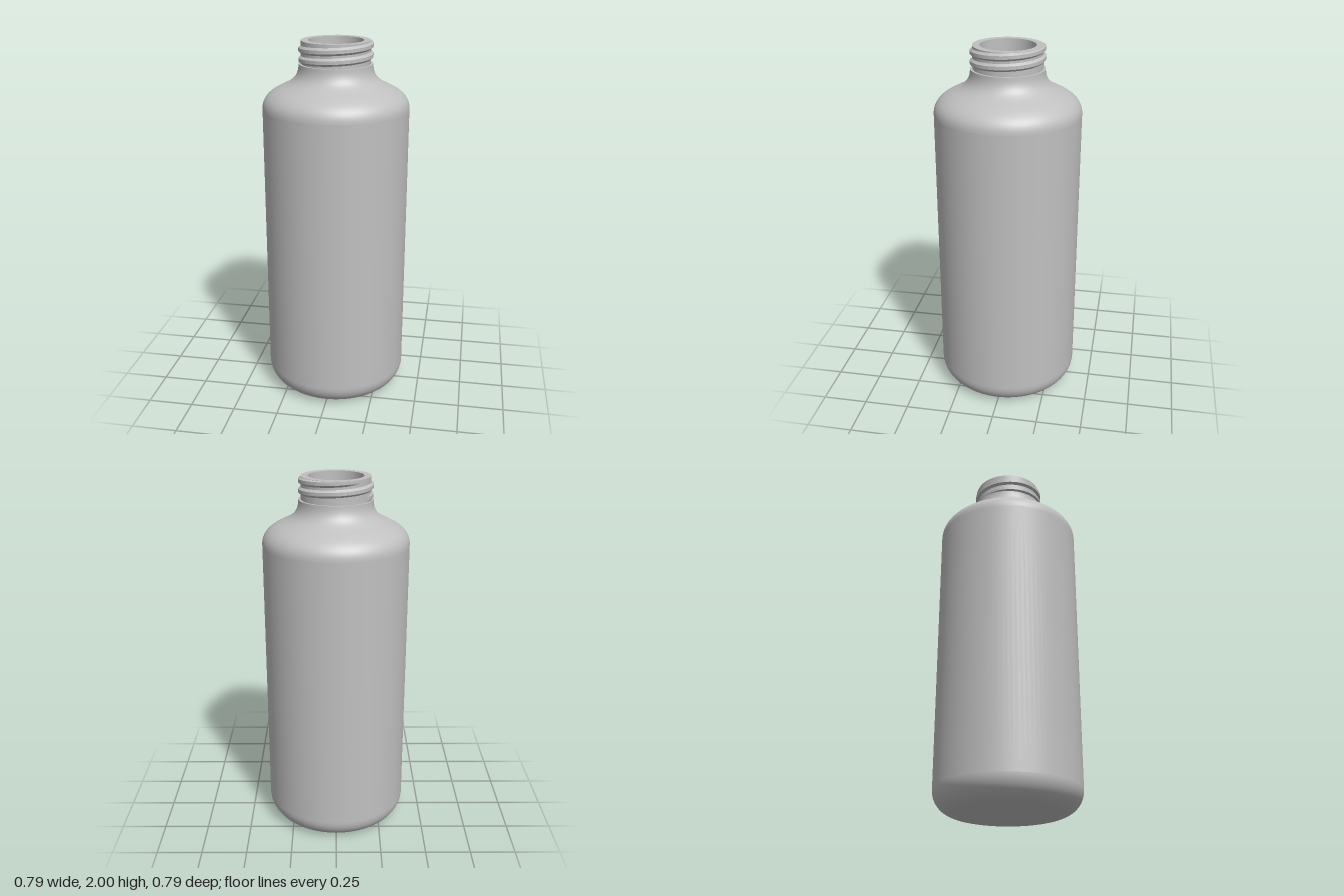
import * as THREE from 'three';

const SEGMENTS = 96;
const v = (x, y) => new THREE.Vector2(x, y);

// Samples a cubic curve between two profile points
const curve = (a, b, c, d, n = 14) => new THREE.CubicBezierCurve(a, b, c, d).getPoints(n);

// Helical ridge with a trapezoid section that fades into the neck at both ends
function threadGeometry(core, crest, pitch) {
  const start = -2.7 * Math.PI, end = 1.25 * Math.PI, fade = 0.7, steps = 220;
  const section = [[0, -0.021], [1, -0.009], [1, 0.009], [0, 0.021]];
  const positions = [], indices = [];
  for (let s = 0; s < 3; s++) {
    const base = positions.length / 3;
    for (let i = 0; i <= steps; i++) {
      const a = start + (end - start) * i / steps;
      const k = Math.min(1, (a - start) / fade, (end - a) / fade);
      const y = 1.95 + pitch * (a + Math.PI / 2) / (2 * Math.PI);
      for (const [h, dy] of [section[s], section[s + 1]]) {
        const r = core - 0.001 + (crest - core + 0.001) * h * k;
        positions.push(r * Math.sin(a), Math.min(y + dy, 1.999), r * Math.cos(a));
      }
      if (i < steps) {
        const p = base + i * 2;
        indices.push(p, p + 2, p + 1, p + 1, p + 2, p + 3);
      }
    }
  }
  const g = new THREE.BufferGeometry();
  g.setAttribute('position', new THREE.Float32BufferAttribute(positions, 3));
  g.setIndex(indices);
  g.computeVertexNormals();
  return g;
}

export function createModel() {
  const group = new THREE.Group();
  group.name = 'bottle';
  const grey = new THREE.MeshStandardMaterial({ color: 0xc0c0c0 });
  grey.name = 'light grey';

  const add = (name, geometry) => {
    const mesh = new THREE.Mesh(geometry, grey);
    mesh.name = name;
    group.add(mesh);
  };
  const turn = (name, points) => add(name, new THREE.LatheGeometry(points, SEGMENTS));

  const R = 0.396, fillet = 0.12, neck = 0.186, bore = 0.148, wall = 0.045;

  // Flat base and rounded lower edge
  turn('base', [v(0, 0), v(R - fillet, 0)]);
  const corner = [];
  for (let i = 0; i <= 16; i++) {
    const t = i / 16 * Math.PI / 2;
    corner.push(v(R - fillet + fillet * Math.sin(t), fillet - fillet * Math.cos(t)));
  }
  turn('lowerEdge', corner);

  // Straight body and S-shaped shoulder
  turn('body', [v(R, fillet), v(R, 1.64)]);
  turn('shoulder', [
    ...curve(v(R, 1.64), v(R, 1.705), v(0.345, 1.735), v(0.285, 1.762)),
    ...curve(v(0.285, 1.762), v(0.235, 1.785), v(0.199, 1.81), v(0.199, 1.878)).slice(1),
  ]);

  // Neck with ledge, rim and screw thread
  turn('neckLedge', [v(0.199, 1.878), v(neck, 1.878)]);
  turn('neck', [v(neck, 1.878), v(neck, 2)]);
  turn('rim', [v(neck, 2), v(bore, 2)]);
  add('screwThread', threadGeometry(neck, 0.199, 0.053));

  // Hollow inside
  turn('neckBore', [v(bore, 2), v(bore, 1.86)]);
  turn('innerWall', [
    ...curve(v(bore, 1.86), v(bore, 1.78), v(0.2, 1.75), v(0.25, 1.725)),
    ...curve(v(0.25, 1.725), v(0.31, 1.7), v(R - wall, 1.68), v(R - wall, 1.63)).slice(1),
    ...curve(v(R - wall, fillet), v(R - wall, 0.08), v(0.31, wall), v(R - fillet, wall)),
  ]);
  turn('innerFloor', [v(R - fillet, wall), v(0, wall)]);

  return group;
}
